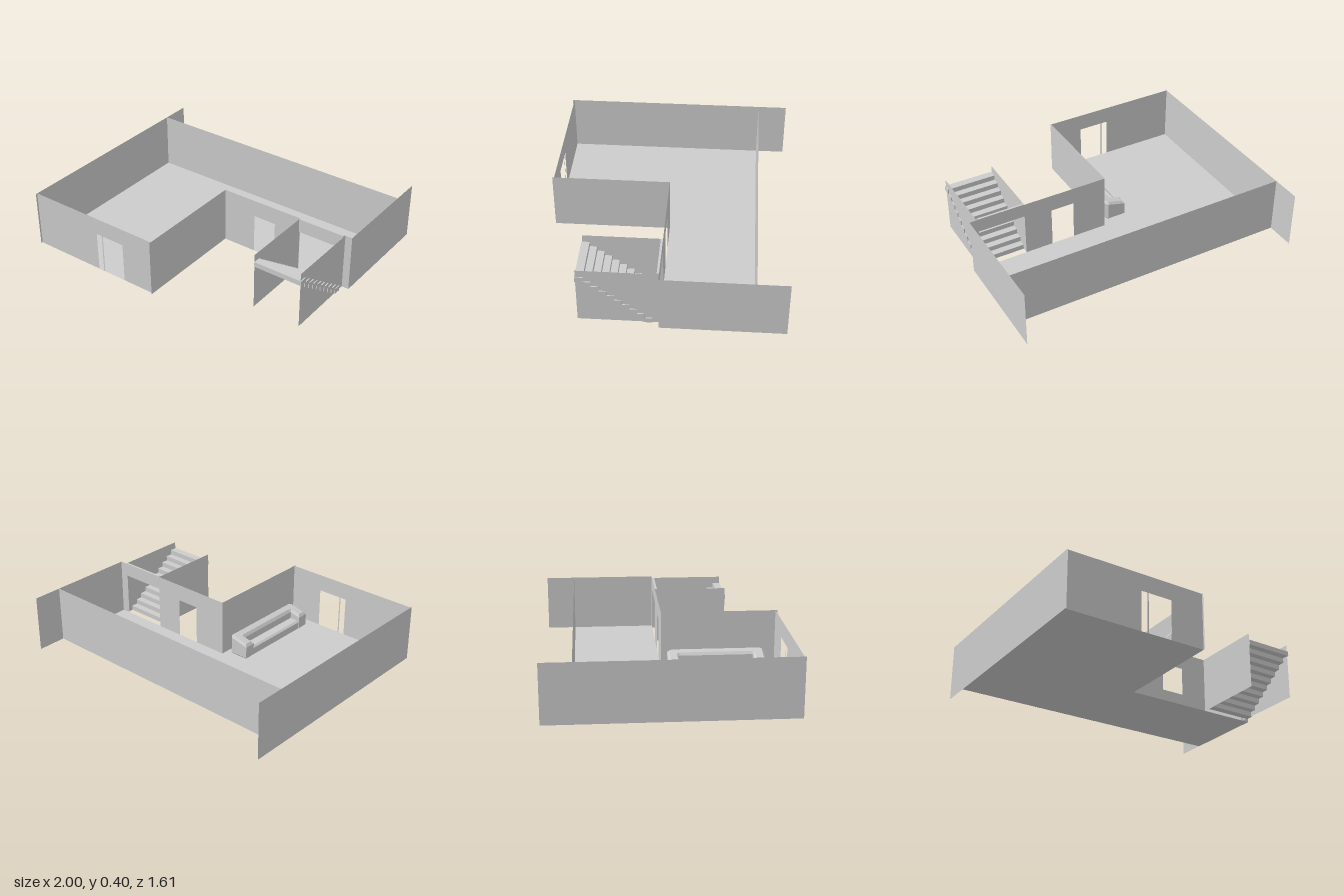
import * as THREE from 'three';

const H = 0.4;
const thin = new THREE.MeshStandardMaterial({ color: 0xcccccc, side: THREE.DoubleSide, flatShading: true });
const solid = new THREE.MeshStandardMaterial({ color: 0xcccccc, flatShading: true });

function polygon(points, Type = THREE.Shape) {
  return new Type(points.map(([x, y]) => new THREE.Vector2(x, y)));
}

function add(parent, name, geometry, material) {
  const mesh = new THREE.Mesh(geometry, material);
  mesh.name = name;
  parent.add(mesh);
  return mesh;
}

// Box given by its min and max corners
function box(parent, name, [x0, y0, z0], [x1, y1, z1]) {
  const mesh = add(parent, name, new THREE.BoxGeometry(x1 - x0, y1 - y0, z1 - z0), solid);
  mesh.position.set((x0 + x1) / 2, (y0 + y1) / 2, (z0 + z1) / 2);
}

// Thin wall along x, with openings [x0, x1, top] that reach the floor
function wallX(parent, name, x0, x1, z, openings = []) {
  const outline = [[x0, 0]];
  for (const [a, b, top] of openings) outline.push([a, 0], [a, top], [b, top], [b, 0]);
  outline.push([x1, 0], [x1, H], [x0, H]);
  const mesh = add(parent, name, new THREE.ShapeGeometry(polygon(outline)), thin);
  mesh.position.z = z;
}

// Thin wall along z
function wallZ(parent, name, x, z0, z1) {
  const mesh = add(parent, name, new THREE.PlaneGeometry(z1 - z0, H), thin);
  mesh.rotation.y = Math.PI / 2;
  mesh.position.set(x, H / 2, (z0 + z1) / 2);
}

function createSofa() {
  const sofa = new THREE.Group();
  sofa.name = 'sofa';
  const bevel = 0.015;
  // U-shaped back and arms with cut corners, open toward -x
  const frame = polygon([
    [-0.17, -0.055], [-0.06, -0.055], [-0.05, -0.07], [-0.05, -0.68], [-0.06, -0.695], [-0.17, -0.695],
    [-0.17, -0.645], [-0.1, -0.645], [-0.09, -0.63], [-0.09, -0.12], [-0.1, -0.105], [-0.17, -0.105],
  ]);
  const geometry = new THREE.ExtrudeGeometry(frame, {
    depth: 0.1, bevelEnabled: true, bevelThickness: bevel, bevelSize: bevel, bevelSegments: 1,
  });
  geometry.rotateX(-Math.PI / 2);
  geometry.translate(0, bevel, 0);
  // The top rises toward the backrest
  const p = geometry.attributes.position;
  for (let i = 0; i < p.count; i++) {
    if (p.getY(i) > 0.06) p.setY(i, p.getY(i) + (p.getX(i) + 0.12) * 0.25);
  }
  geometry.computeVertexNormals();
  add(sofa, 'backAndArms', geometry, solid);

  const cushion = polygon([[-0.165, -0.12], [-0.095, -0.12], [-0.095, -0.63], [-0.165, -0.63]]);
  const seat = new THREE.ExtrudeGeometry(cushion, {
    depth: 0.05, bevelEnabled: true, bevelThickness: 0.01, bevelSize: bevel, bevelSegments: 1,
  });
  seat.rotateX(-Math.PI / 2);
  seat.translate(0, 0.01, 0);
  add(sofa, 'seat', seat, solid);
  return sofa;
}

function createStairs() {
  const stairs = new THREE.Group();
  stairs.name = 'stairs';
  const steps = 10, rise = 0.035, run = 0.0475, depth = 0.053;
  for (let i = 0; i < steps; i++) {
    const z = 0.044 + i * run;
    box(stairs, 'step', [0.61, i * rise, z], [0.957, (i + 1) * rise, z + depth]);
  }
  wallZ(stairs, 'stairSideRight', 0.608, 0, 0.52);
  wallZ(stairs, 'stairSideLeft', 0.95, 0, 0.52);
  return stairs;
}

export function createModel() {
  const model = new THREE.Group();
  model.name = 'apartment';

  // L-shaped floor
  const floor = new THREE.ShapeGeometry(polygon([
    [-1, -0.795], [0, -0.795], [0, 0], [1, 0], [1, 0.6], [-1, 0.6],
  ]));
  floor.rotateX(-Math.PI / 2);
  add(model, 'floor', floor, thin);

  // Outer walls; the side walls run on past the back wall
  wallX(model, 'backWall', -1, 1, -0.6);
  wallX(model, 'frontWall', -1, 0, 0.795, [[-0.467, -0.424, 0.28], [-0.414, -0.243, 0.28]]);
  wallX(model, 'innerFrontWall', 0, 1, 0, [[0.245, 0.411, 0.28], [0.61, 0.94, 0.305]]);
  wallZ(model, 'rightSideWall', -1, -0.805, 0.808);
  wallZ(model, 'leftSideWall', 1, -0.805, 0);
  wallZ(model, 'innerSideWall', 0, 0, 0.808);

  // Beam above the stair opening
  box(model, 'lintel', [0.61, 0.305, 0], [0.943, 0.402, 0.015]);

  model.add(createStairs(), createSofa());
  return model;
}
